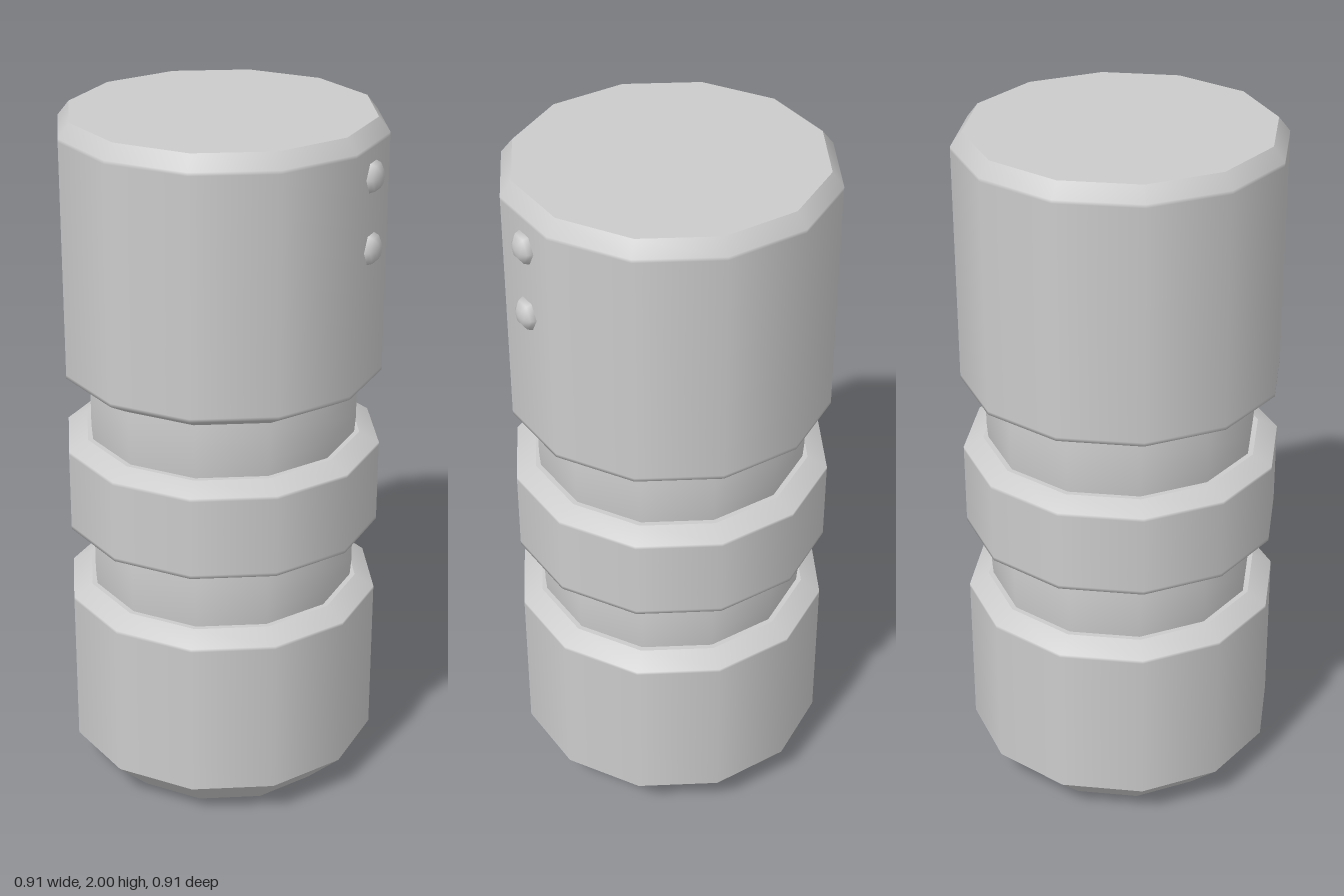
import * as THREE from 'three';

const SIDES = 12;
const R = 0.457;   // outer radius
const G = 0.385;   // groove radius at its ends

export function createModel() {
  const model = new THREE.Group();
  const material = new THREE.MeshStandardMaterial({ color: 0xcccccc });

  // One twelve-sided turned surface; separate sections keep a sharp edge between them.
  function turned(parent, name, profile) {
    const points = profile.map(([r, y]) => new THREE.Vector2(r, y));
    const mesh = new THREE.Mesh(new THREE.LatheGeometry(points, SIDES), material);
    mesh.name = name;
    parent.add(mesh);
  }

  function part(name) {
    const group = new THREE.Group();
    group.name = name;
    model.add(group);
    return group;
  }

  // Lower grip with a chamfered foot and a round socket underneath
  const lower = part('lowerGrip');
  turned(lower, 'socketFloor', [[0, 0.3], [0.19, 0.3]]);
  turned(lower, 'socketWall', [[0.19, 0.3], [0.19, 0]]);
  turned(lower, 'footRing', [[0.19, 0], [0.345, 0]]);
  turned(lower, 'footChamfer', [[0.345, 0], [R, 0.11]]);
  turned(lower, 'lowerWall', [[R, 0.11], [R, 0.57], [R, 0.58], [0.4, 0.613]]);
  turned(lower, 'lowerLedge', [[0.4, 0.613], [G - 0.01, 0.613]]);

  // Two slightly bulging necks
  for (const [name, y] of [['lowerNeck', 0.61], ['upperNeck', 1.075]]) {
    turned(model, name, [[G, y], [0.389, y + 0.05], [0.389, y + 0.12], [G, y + 0.17]]);
  }

  // Middle ring
  const ring = part('middleRing');
  turned(ring, 'ringUnderside', [[G - 0.01, 0.78], [0.4, 0.78]]);
  turned(ring, 'ringWall', [[0.4, 0.78], [R, 0.805], [R, 0.815], [R, 1.04], [R, 1.05], [0.4, 1.078]]);
  turned(ring, 'ringLedge', [[0.4, 1.078], [G - 0.01, 1.078]]);

  // Upper grip with a flat cap
  const upper = part('upperGrip');
  turned(upper, 'upperUnderside', [[G - 0.01, 1.243], [0.4, 1.243]]);
  turned(upper, 'upperWall', [[0.4, 1.243], [R, 1.275], [R, 1.285], [R, 1.95], [R, 1.96], [0.425, 2]]);
  turned(upper, 'cap', [[0.425, 2], [0, 2]]);

  // Two low domed studs on one facet of the upper grip
  const studGeometry = new THREE.SphereGeometry(0.046, 6, 6);
  studGeometry.scale(1, 0.65, 1).rotateX(Math.PI / 2).rotateY(Math.PI / 4);
  for (const y of [1.67, 1.87]) {
    const stud = new THREE.Mesh(studGeometry, material);
    stud.name = 'stud';
    stud.position.set(0.312, y, 0.312);
    model.add(stud);
  }

  return model;
}
